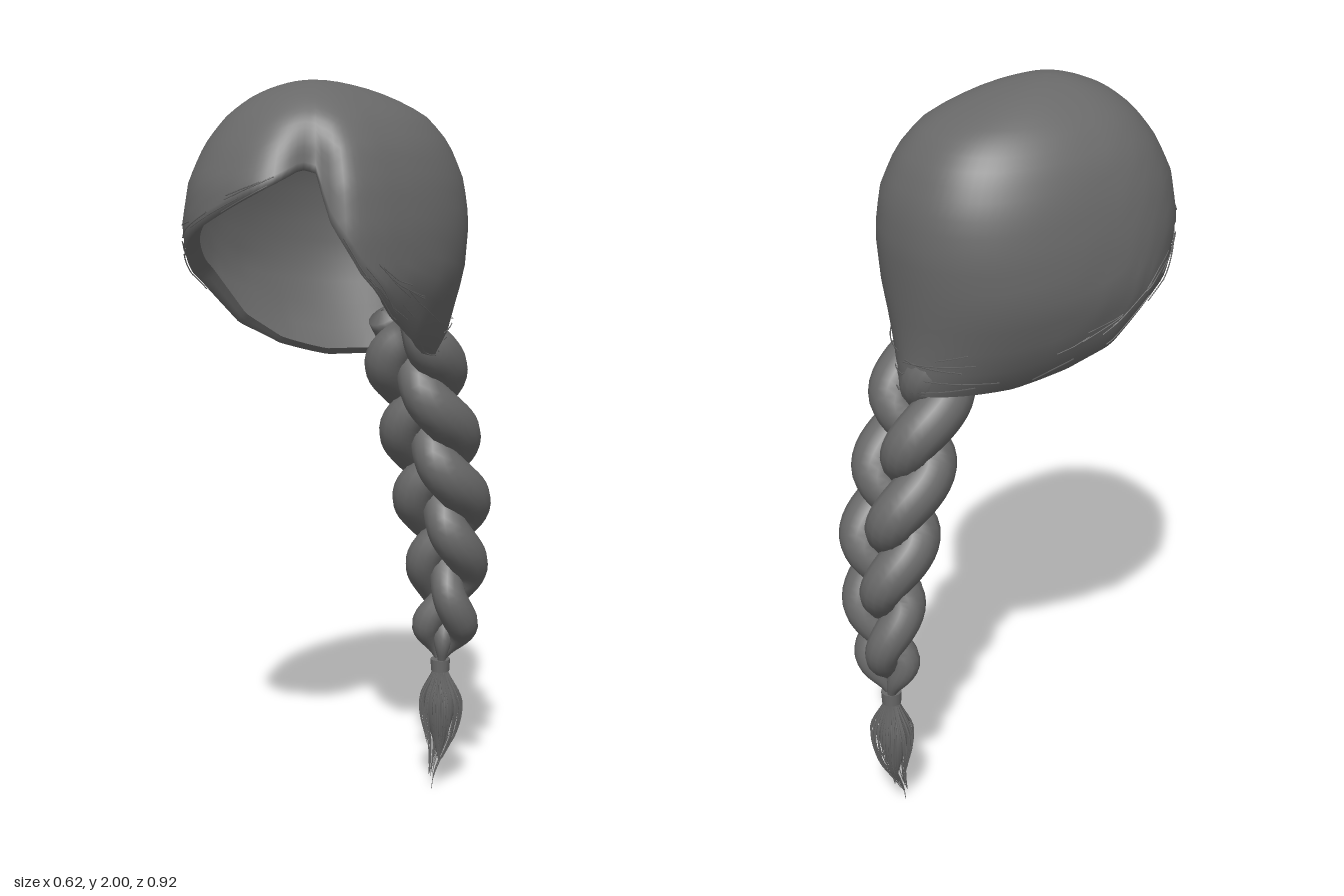
import * as THREE from 'three';

const { sin, cos, abs, PI, pow } = Math;
const lerp = THREE.MathUtils.lerp, smooth = THREE.MathUtils.smoothstep, clamp = THREE.MathUtils.clamp;

let seed = 7;
const rand = () => (seed = (seed * 16807) % 2147483647) / 2147483647;

// Cap cross-sections from crown to nape: front z, back z, half width
const CZ = 0.14;
const profile = [
  [0.14, 0.14, 0], [0.21, 0.05, 0.068], [0.29, -0.07, 0.135], [0.355, -0.19, 0.2], [0.41, -0.255, 0.25],
  [0.455, -0.295, 0.283], [0.47, -0.31, 0.303], [0.44, -0.302, 0.307], [0.38, -0.29, 0.258], [0.33, -0.3, 0.13],
];
// Height of the hairline by angle around the head (0 = front, + = left)
const hairline = [
  [-PI, 1.26], [-2.5, 1.27], [-1.95, 1.31], [-1.5, 1.37], [-1.1, 1.49], [-0.75, 1.56], [-0.37, 1.62], [0, 1.68],
  [0.31, 1.73], [0.66, 1.79], [0.8, 1.78], [0.92, 1.66], [1.15, 1.54], [1.5, 1.43], [1.85, 1.37], [2.35, 1.31], [PI, 1.26],
];

function hairlineAt(a) {
  let i = 1;
  while (i < hairline.length - 1 && hairline[i][0] < a) i++;
  const [a0, y0] = hairline[i - 1], [a1, y1] = hairline[i];
  return lerp(y0, y1, (a - a0) / (a1 - a0));
}

function sectionAt(y) {
  const s = Math.sqrt(Math.max(0, 2 - y)) * 10;
  const i = Math.min(profile.length - 2, Math.floor(s));
  return profile[i].map((v, k) => lerp(v, profile[i + 1][k], s - i));
}

// Point on the cap: angle a, v = 0 crown to 1 hairline
function capPoint(a, v, scale = 1, lift = 0) {
  const y = 2 - (2 - hairlineAt(a)) * v * v;
  const [zf, zb, h] = sectionAt(y);
  const c = cos(a), depth = c > 0 ? zf - CZ : CZ - zb;
  // boxier at the back of the head, drawn in towards the nape
  const n = c > 0 ? 2.3 : lerp(2.05, 2.45, smooth(y, 1.3, 1.75));
  let r = 0;
  if (h > 0) r = pow(pow(abs(sin(a)) / h, n) + pow(abs(c) / depth, n), -1 / n);
  // dent where the fringe parts from the left lock
  const off = a - 0.78;
  r *= 1 - 0.17 * Math.exp(-pow(off / (off < 0 ? 0.24 : 0.18), 2)) * smooth(2 - y, 0.03, 0.22);
  r *= scale;
  return new THREE.Vector3(sin(a) * r, y + lift, CZ + c * r);
}

function gridGeometry(rows, cols, point) {
  const pos = [], idx = [];
  for (let j = 0; j <= rows; j++)
    for (let i = 0; i < cols; i++) pos.push(...point(i / cols, j).toArray());
  for (let j = 0; j < rows; j++)
    for (let i = 0; i < cols; i++) {
      const k = (i + 1) % cols, a = j * cols + i, b = j * cols + k;
      idx.push(a, a + cols, b, b, a + cols, b + cols);
    }
  const g = new THREE.BufferGeometry();
  g.setAttribute('position', new THREE.Float32BufferAttribute(pos, 3));
  g.setIndex(idx);
  g.computeVertexNormals();
  return g;
}

// Strand running downwards with a varying radius
function strandGeometry(path, radius, rows, cols) {
  const side = new THREE.Vector3(), up = new THREE.Vector3(), dir = new THREE.Vector3();
  return gridGeometry(rows, cols, (u, j) => {
    const t = j / rows, p = path(t);
    dir.subVectors(path(t + 0.005), path(t - 0.005)).normalize();
    side.set(1, 0, 0).addScaledVector(dir, -dir.x).normalize();
    up.crossVectors(side, dir);
    const a = u * 2 * PI, r = radius(t);
    return p.addScaledVector(side, cos(a) * r).addScaledVector(up, -sin(a) * r);
  });
}

export function createModel() {
  const model = new THREE.Group();
  const hair = new THREE.MeshStandardMaterial({ color: 0x696969, side: THREE.DoubleSide });
  hair.name = 'hair';
  const add = (name, geometry, parent = model) => {
    const m = new THREE.Mesh(geometry, hair);
    m.name = name;
    parent.add(m);
    return m;
  };
  const group = (name) => {
    const g = new THREE.Group();
    g.name = name;
    model.add(g);
    return g;
  };

  // Cap of swept hair, its rim rolled inwards, most of all at the front
  const rows = 22;
  add('hairCap', gridGeometry(rows + 2, 110, (u, j) => {
    const a = u * 2 * PI - PI, over = Math.max(0, j - rows);
    const roll = over * lerp(0.03, 0.055, smooth(cos(a), -0.5, 0.5));
    return capPoint(a, Math.min(1, j / rows), 1 - roll, 0.3 * roll);
  }));

  // Fine loose hairs along the rim
  const wisps = group('rimWisps');
  for (let i = 0; i < 45; i++) {
    let a0 = -PI + rand() * 2 * PI;
    if (a0 > 0.2 && a0 < 1) a0 += 0.8;
    const len = 0.15 + rand() * 0.35, v0 = 0.92 + rand() * 0.08, dv = (rand() - 0.5) * 0.04, out = 1.004 + rand() * 0.012;
    const pts = [];
    for (let k = 0; k <= 6; k++)
      pts.push(capPoint(Math.min(a0 + (len * k) / 6, PI + k * 1e-4), Math.min(1, v0 + (dv * k) / 6), out));
    add('wisp', new THREE.TubeGeometry(new THREE.CatmullRomCurve3(pts), 8, 0.0018, 3), wisps);
  }

  // Three-strand braid
  const braid = group('braid');
  const top = 1.39, bottom = 0.36;
  const spine = new THREE.CatmullRomCurve3([
    [0.02, 1.39, -0.18], [0.025, 1.18, -0.245], [0.025, 0.98, -0.305],
    [0.028, 0.77, -0.35], [0.025, 0.56, -0.362], [0.015, 0.36, -0.352],
  ].map((p) => new THREE.Vector3(...p)));
  const taper = (t) => lerp(1, 0.72, smooth(t, 0.45, 0.9)) * (1 - 0.8 * smooth(t, 0.86, 1));
  const turn = (t, phase) => PI / 2 + (2 * PI * (0.9 - lerp(top, bottom, t))) / 0.585 + phase;
  for (let k = 0; k < 3; k++) {
    const phase = (k * 2 * PI) / 3;
    const path = (t) => {
      const p = spine.getPoint(clamp(t, 0, 1)), f = turn(t, phase);
      p.y = lerp(top, bottom, t);
      p.x += 0.076 * sin(f) * taper(t);
      p.z += 0.046 * sin(2 * f) * taper(t) * lerp(0.3, 1, smooth(t, 0, 0.15));
      return p;
    };
    // locks swell on the outside of each turn and close at the root
    const radius = (t) => {
      const swell = 0.91 + 0.18 * pow(sin(turn(t, phase)), 2);
      return 0.062 * taper(t) * swell * (t === 0 ? 0.05 : lerp(0.7, 1, smooth(t, 0, 0.1)));
    };
    add('braidStrand', strandGeometry(path, radius, 80, 14), braid);
  }

  // Tie at the end of the braid
  const tie = add('braidTie', new THREE.CylinderGeometry(0.028, 0.026, 0.035, 14));
  tie.position.set(0.015, 0.365, -0.352);

  // Tuft: a soft core wrapped in thin strands
  const tuft = group('tuft');
  const core = add('tuftCore', new THREE.LatheGeometry(
    [[0, 0.07], [0.014, 0.12], [0.034, 0.18], [0.05, 0.24], [0.044, 0.29], [0.024, 0.34], [0.02, 0.37]]
      .map((p) => new THREE.Vector2(...p)), 16), tuft);
  core.position.set(0.015, 0, -0.35);
  core.scale.z = 0.75;
  for (let i = 0; i < 46; i++) {
    const a = i * 2.4, w = 0.75 + rand() * 0.35, end = i === 0 ? 0.002 : 0.03 + rand() * 0.14;
    const path = (t) => {
      const y = lerp(0.37, end, t), drop = 0.37 - y;
      const spread = lerp(0.015, 0.066 * w, smooth(drop, 0, 0.12)) * (1 - 0.9 * smooth(drop, 0.13, 0.36));
      return new THREE.Vector3(
        0.015 + cos(a) * spread, y, -0.352 + sin(a) * spread * 0.75 + 0.04 * smooth(drop, 0.2, 0.37));
    };
    add('tuftStrand', strandGeometry(path, (t) => 0.005 * (1 - 0.8 * t), 14, 4), tuft);
  }
  return model;
}
